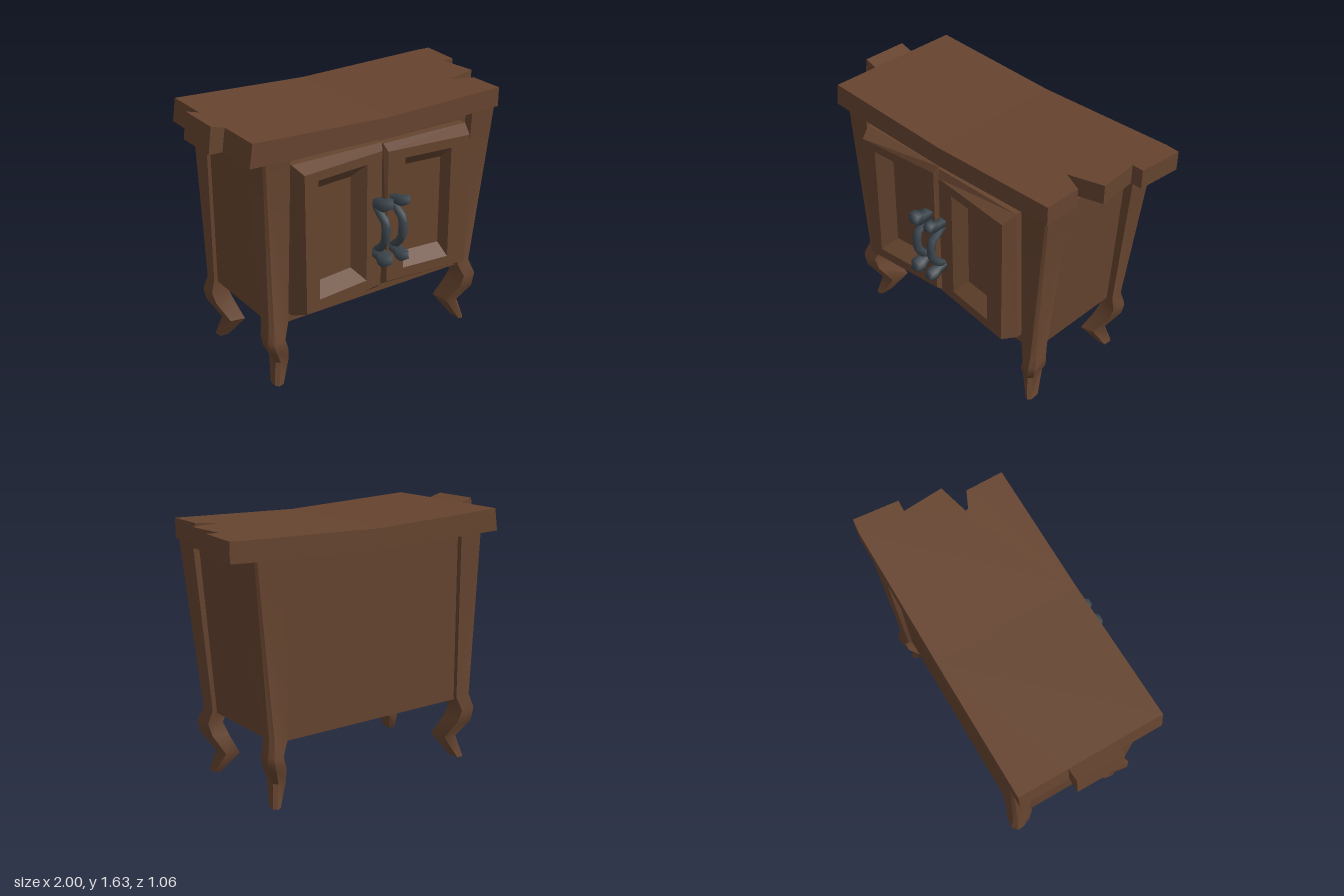
import * as THREE from 'three';
import { toCreasedNormals } from 'three/addons/utils/BufferGeometryUtils.js';

// Solid skinned through rings of [x, y, z] points, closed at both ends
function loft(rings, smooth = false) {
  const n = rings[0].length, pos = rings.flat(2), idx = [];
  rings.slice(1).forEach((_, r) => {
    for (let i = 0; i < n; i++) {
      const a = r * n + i, b = r * n + (i + 1) % n;
      idx.push(a, b, b + n, a, b + n, a + n);
    }
  });
  const last = (rings.length - 1) * n;
  for (let i = 1; i < n - 1; i++) idx.push(0, i + 1, i, last, last + i, last + i + 1);
  // Turn the faces outward if the enclosed volume is negative
  const p = i => new THREE.Vector3().fromArray(pos, i * 3);
  let volume = 0;
  for (let i = 0; i < idx.length; i += 3) volume += p(idx[i]).dot(p(idx[i + 1]).cross(p(idx[i + 2])));
  if (volume < 0) idx.reverse();
  let g = new THREE.BufferGeometry();
  g.setAttribute('position', new THREE.Float32BufferAttribute(pos, 3));
  g.setIndex(idx);
  if (!smooth) g = g.toNonIndexed();
  g.computeVertexNormals();
  return g;
}

const rect = (x0, x1, z0, z1, y) => [[x0, y, z0], [x1, y, z0], [x1, y, z1], [x0, y, z1]];

// Half of the sagging top board, from an outline in x and z
function boardHalf(outline) {
  const shape = new THREE.Shape(outline.map(p => new THREE.Vector2(...p)));
  const g = new THREE.ExtrudeGeometry(shape, { depth: 1, bevelEnabled: false });
  g.rotateX(Math.PI / 2);
  const pos = g.attributes.position;
  for (let i = 0; i < pos.count; i++) {
    const x = pos.getX(i), top = pos.getY(i) > -0.5;
    let y = top ? 1.575 + Math.abs(x) * (x < 0 ? 0.039 : 0.025) : 1.45 + Math.abs(x) * (x < 0 ? 0.022 : 0.03);
    if (top && x < -0.95) y += 0.02;
    if (top && x < -0.5) pos.setX(i, x + 0.022);
    pos.setY(i, y);
  }
  g.computeVertexNormals();
  return g;
}

// Leg profiles: [outer, inner] at each height, chamfer width, and how far the side corners draw in
const LEG_Y = [1.48, 0.42, 0.33, 0.255, 0.135, 0];
const LEG_CHAMFER = [0.012, 0.022, 0.028, 0.028, 0.024, 0.02];
const LEG_PULL = [0, 0.05, 0.12, 0.13, 0.15, 0.1];
const RIGHT_FRONT_X = [[-0.825, -0.655], [-0.79, -0.66], [-0.82, -0.69], [-0.8, -0.665], [-0.73, -0.62], [-0.76, -0.7]];
const RIGHT_BACK_X = [[-0.798, -0.628], [-0.782, -0.655], [-0.81, -0.685], [-0.795, -0.66], [-0.73, -0.62], [-0.76, -0.7]];
const LEFT_FRONT_X = [[0.825, 0.64], [0.725, 0.615], [0.752, 0.645], [0.738, 0.62], [0.67, 0.57], [0.7, 0.655]];
const LEFT_BACK_X = [[0.845, 0.65], [0.74, 0.62], [0.765, 0.65], [0.75, 0.625], [0.68, 0.575], [0.71, 0.66]];
const FRONT_Z = [[0.365, 0.19], [0.32, 0.19], [0.36, 0.205], [0.355, 0.18], [0.28, 0.135], [0.315, 0.225]];
const BACK_Z = [[-0.52, -0.345], [-0.49, -0.39], [-0.515, -0.38], [-0.51, -0.36], [-0.43, -0.3], [-0.47, -0.39]];
function leg(xs, zs) {
  const g = loft(LEG_Y.map((y, i) => {
    const [ox, ix] = xs[i], [oz, iz] = zs[i], f = LEG_PULL[i];
    const cx = LEG_CHAMFER[i] * Math.sign(ox), cz = LEG_CHAMFER[i] * Math.sign(oz);
    const dx = (ox - ix) * f, dz = (oz - iz) * f;
    return [[ix, y, iz], [ox - dx, y, iz + dz], [ox, y, oz - cz], [ox - cx, y, oz], [ix + dx, y, oz - dz]];
  }));
  return toCreasedNormals(g, 0.76);
}

// Door with bevelled rim and sunken panel; each ring is [x0, x1, y0, y1]
function door(outer, face, hole, panel, zAt) {
  const ring = ([x0, x1, y0, y1], z) => [[x0, y0], [x1, y0], [x1, y1], [x0, y1]].map(([x, y]) => [x, y, z(x, y)]);
  return loft([
    ring(outer, () => 0.27),
    ring(outer, (x, y) => 0.32 + (y - 0.46) * 0.038),
    ring(face, zAt),
    ring(hole, zAt),
    ring(panel, x => zAt(x) - 0.085),
  ]);
}

// Tube of varying radius along [y, z, radius] points
function taperedTube(x, path, sides, flat = 1) {
  return loft(path.map(([y, z, r], i) => {
    const a = path[Math.max(i - 1, 0)], b = path[Math.min(i + 1, path.length - 1)];
    const len = Math.hypot(b[0] - a[0], b[1] - a[1]);
    const ny = -(b[1] - a[1]) / len, nz = (b[0] - a[0]) / len;
    return Array.from({ length: sides }, (_, k) => {
      const t = (k + 0.5) / sides * Math.PI * 2, s = Math.sin(t) * r * flat;
      return [x + Math.cos(t) * r, y + ny * s, z + nz * s];
    });
  }), true);
}

export function createModel() {
  const model = new THREE.Group();
  const wood = new THREE.MeshStandardMaterial({ color: 0x66442f });
  wood.name = 'wood';
  const iron = new THREE.MeshStandardMaterial({ color: 0x3d474f });
  iron.name = 'iron';
  const add = (name, geometry, material = wood, parent = model) => {
    const mesh = new THREE.Mesh(geometry, material);
    mesh.name = name;
    parent.add(mesh);
  };

  // Top board with broken ends
  add('topBoardRight', boardHalf([[0, -0.53], [0, 0.375], [-0.915, 0.375], [-0.915, 0.075], [-1, 0.075],
    [-1, -0.222], [-0.915, -0.222], [-0.915, -0.53]]));
  add('topBoardLeft', boardHalf([[0, 0.375], [0, -0.53], [0.91, -0.53], [1, -0.52], [0.975, -0.235],
    [0.9, -0.24], [0.92, 0.018], [0.7, 0.075], [0.835, 0.138], [0.835, 0.375]]));

  // Tapered cabinet body, set in behind the legs
  add('body', loft([rect(-0.75, 0.69, -0.46, 0.28, 0.402), rect(-0.775, 0.785, -0.488, 0.305, 1.47)]));

  // Curved legs
  add('frontRightLeg', leg(RIGHT_FRONT_X, FRONT_Z));
  add('backRightLeg', leg(RIGHT_BACK_X, BACK_Z));
  add('frontLeftLeg', leg(LEFT_FRONT_X, FRONT_Z));
  add('backLeftLeg', leg(LEFT_BACK_X, BACK_Z));

  // Doors, tilted toward the middle
  add('rightDoor', door([-0.645, -0.03, 0.46, 1.425], [-0.61, -0.045, 0.51, 1.38],
    [-0.515, -0.158, 0.575, 1.325], [-0.455, -0.22, 0.648, 1.24], x => 0.38 - (x + 0.045) * 0.097));
  add('leftDoor', door([-0.022, 0.592, 0.475, 1.413], [0, 0.565, 0.515, 1.365],
    [0.115, 0.437, 0.58, 1.305], [0.17, 0.425, 0.65, 1.225], x => 0.38 + x * 0.097));

  // Handles: bowed grip between two blocky knobs
  for (const [name, x, s] of [['rightHandle', -0.09, 1.1], ['leftHandle', 0.034, 0.92]]) {
    const handle = new THREE.Group();
    handle.name = name;
    add('grip', taperedTube(x, [[1.06, 0.37, 0.024], [1.01, 0.435, 0.025], [0.985, 0.475, 0.027], [0.945, 0.488, 0.028],
      [0.87, 0.486, 0.028], [0.83, 0.465, 0.027], [0.795, 0.435, 0.025], [0.75, 0.37, 0.024]], 6), iron, handle);
    for (const [knob, y, d] of [['upperKnob', 1.088, 1], ['lowerKnob', 0.736, -1]])
      add(knob, taperedTube(x, [[y - d * 0.016, 0.36, 0.034 * s], [y - d * 0.012, 0.435, 0.038 * s],
        [y, 0.47, 0.049 * s], [y + d * 0.004, 0.505, 0.047 * s], [y + d * 0.002, 0.524, 0.03 * s]], 4, 0.85), iron, handle);
    model.add(handle);
  }
  return model;
}
